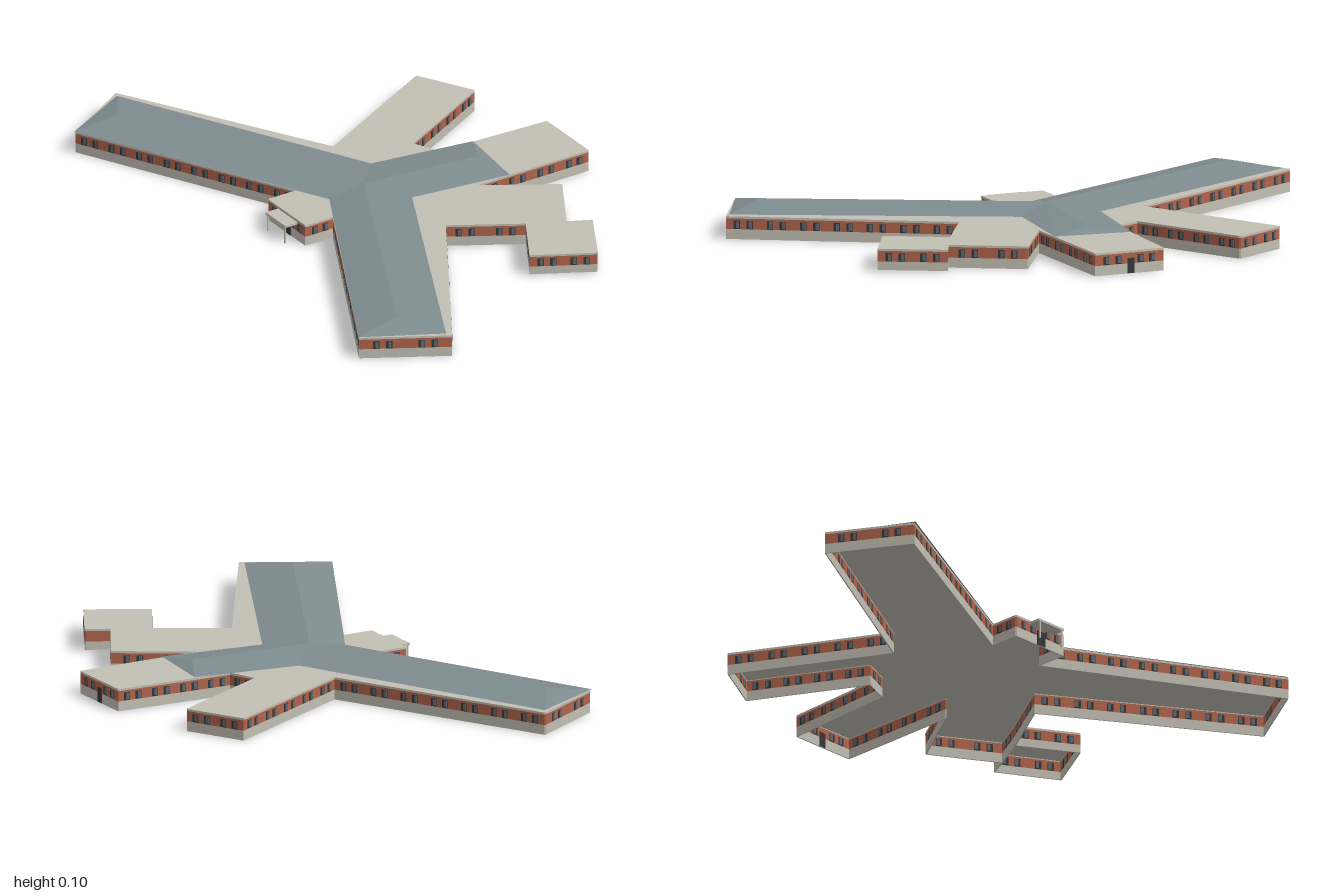
import * as THREE from 'three';
import { mergeGeometries } from 'three/addons/utils/BufferGeometryUtils.js';

const mat = (name, color, extra = {}) => {
  const m = new THREE.MeshStandardMaterial({ color, ...extra });
  m.name = name;
  return m;
};

export function createModel() {
  const concrete = mat('concrete', 0xc2bfb3);
  const brick = mat('brick', 0xb0644b);
  const glass = mat('glass', 0x5d6b75);
  const frame = mat('frame', 0x35383a);
  const slate = mat('slate', 0x7f8c8f, { side: THREE.DoubleSide, flatShading: true });

  const model = new THREE.Group();
  model.name = 'building';
  const TOP = 0.075;

  const add = (parent, name, geometry, material) => {
    const mesh = new THREE.Mesh(geometry, material);
    mesh.name = name;
    parent.add(mesh);
    return mesh;
  };

  // Box standing on an edge a-b, at distance d along it
  const edgeBox = (a, b, d, width, y0, y1, thick) => {
    const dx = b[0] - a[0], dz = b[1] - a[1], len = Math.hypot(dx, dz);
    return new THREE.BoxGeometry(width, y1 - y0, thick)
      .rotateY(-Math.atan2(dz, dx))
      .translate(a[0] + dx * d / len, (y0 + y1) / 2, a[1] + dz * d / len);
  };

  // Walled block, open below, with banded walls, windows and a flat roof
  function block(name, points, base) {
    const group = new THREE.Group();
    group.name = name;
    model.add(group);
    const parts = { plinth: [], brickBand: [], cornice: [], panes: [], frames: [] };
    points.forEach((a, i) => {
      const b = points[(i + 1) % points.length];
      const len = Math.hypot(b[0] - a[0], b[1] - a[1]);
      parts.plinth.push(edgeBox(a, b, len / 2, len, base, 0.033, 0.004));
      parts.brickBand.push(edgeBox(a, b, len / 2, len, 0.033, 0.068, 0.004));
      parts.cornice.push(edgeBox(a, b, len / 2, len, 0.068, TOP, 0.005));
      // windows in pairs
      const pairs = Math.floor(len / 0.1);
      for (let k = 0; k < pairs; k++) {
        for (const side of [-1, 1]) {
          const d = (k + 0.5) * len / pairs + side * 0.021;
          parts.frames.push(edgeBox(a, b, d, 0.021, 0.034, 0.061, 0.006));
          parts.panes.push(edgeBox(a, b, d - 0.003, 0.011, 0.037, 0.059, 0.008));
        }
      }
    });
    const mats = { plinth: concrete, brickBand: brick, cornice: concrete, panes: glass, frames: frame };
    for (const key in parts) add(group, key, mergeGeometries(parts[key]), mats[key]);

    const shape = new THREE.Shape(points.map(p => new THREE.Vector2(p[0], p[1])));
    const roof = new THREE.ExtrudeGeometry(shape, { depth: 0.004, bevelEnabled: false });
    add(group, 'flatRoof', roof.rotateX(Math.PI / 2).translate(0, TOP, 0), concrete);
  }

  // Main footprint: two long wings, three short arms and an entrance bay
  block('mainBlock', [
    [-0.385, -0.998], [-0.005, -0.30], [0.49, -0.56], [0.59, -0.375], [0.22, -0.18],
    [0.26, -0.085], [0.667, -0.065], [0.667, 0.175], [0.225, 0.175],
    [0.465, 0.325], [0.335, 0.545], [0.22, 0.485], [-0.005, 0.35],
    [-0.41, 0.995], [-0.667, 0.845], [-0.273, 0.10], [-0.38, 0.10],
    [-0.38, -0.115], [-0.273, -0.115], [-0.64, -0.85],
  ], 0);
  block('annex', [[0.335, 0.548], [0.41, 0.585], [0.30, 0.78], [0.11, 0.675], [0.22, 0.488]], 0.005);

  // Hipped roofs: outer eaves a, b, inner valley ends c, d, ridge from tip to hub
  const E = 0.077;
  const hub = [-0.09, 0.1, 0.003];
  const north = [0.03, E, -0.135], south = [0.01, E, 0.135], west = [-0.22, E, -0.003];
  function hipRoof(name, a, b, c, d, tip) {
    const tris = [a, tip, b, b, tip, hub, b, hub, c, d, hub, tip, d, tip, a];
    const g = new THREE.BufferGeometry();
    g.setAttribute('position', new THREE.Float32BufferAttribute(tris.flat(), 3));
    g.computeVertexNormals();
    add(model, name, g, slate);
  }
  hipRoof('backWingRoof', [-0.648, E, -0.85], [-0.395, E, -0.98], north, west, [-0.49, 0.1, -0.835]);
  hipRoof('sideArmRoof', [0.39, E, -0.08], [0.36, E, 0.18], south, north, [0.325, 0.096, 0.045]);
  hipRoof('frontWingRoof', [-0.42, E, 0.98], [-0.67, E, 0.845], west, south, [-0.515, 0.1, 0.835]);

  // Entrance canopy on posts, with a door behind
  const canopy = new THREE.Group();
  canopy.name = 'entranceCanopy';
  model.add(canopy);
  add(canopy, 'canopySlab', new THREE.BoxGeometry(0.05, 0.008, 0.115).translate(-0.405, 0.062, -0.002), concrete);
  for (const z of [-0.052, 0.048]) {
    add(canopy, 'canopyPost', new THREE.BoxGeometry(0.005, 0.058, 0.005).translate(-0.426, 0.029, z), concrete);
  }
  add(canopy, 'entranceDoor', new THREE.BoxGeometry(0.009, 0.05, 0.036).translate(-0.38, 0.026, -0.002), frame);

  // Door at the end of the side arm
  add(model, 'sideDoor', new THREE.BoxGeometry(0.008, 0.05, 0.025).translate(0.667, 0.026, 0.05), frame);

  return model;
}
